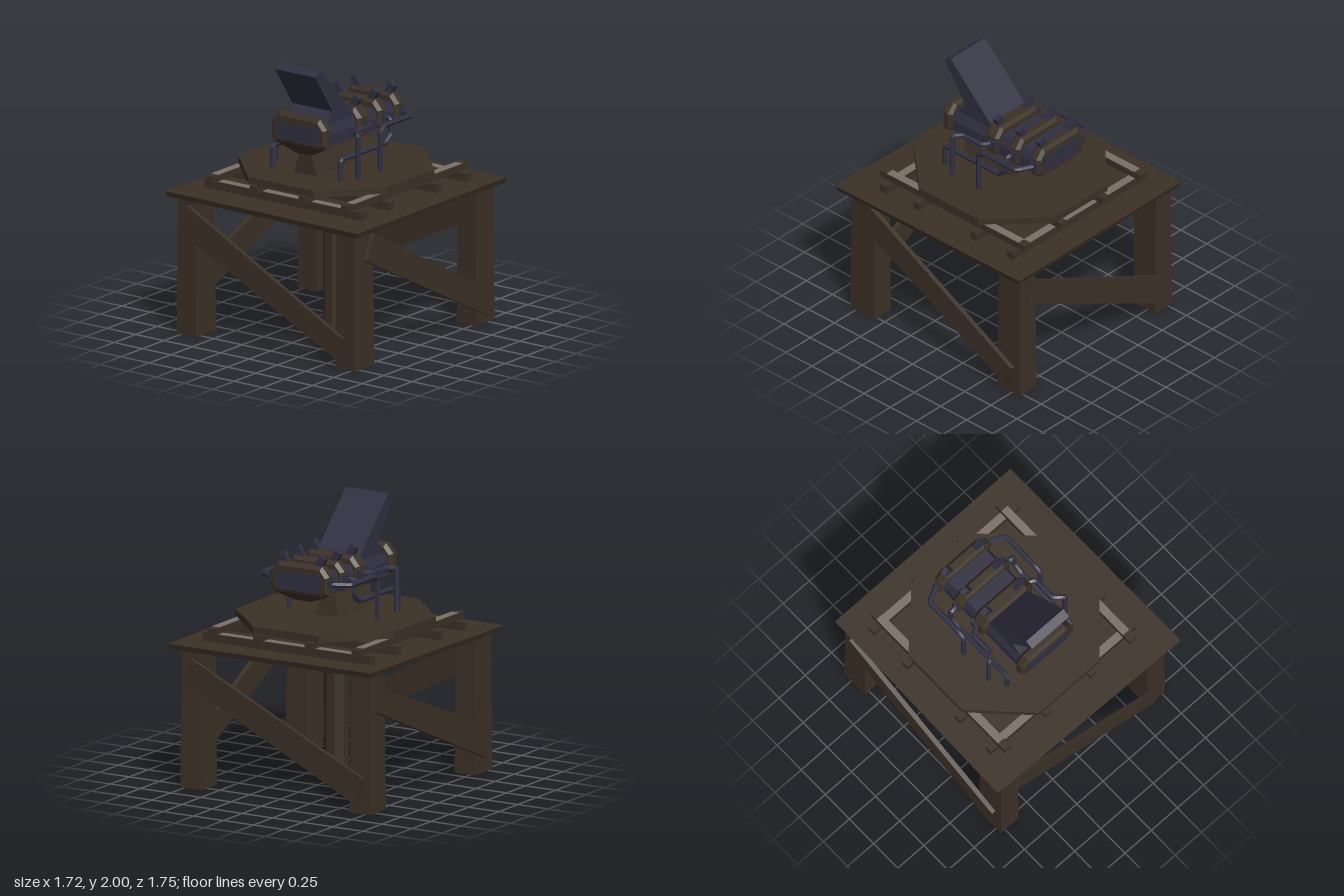
import * as THREE from 'three';

const mat = (name, color) => Object.assign(new THREE.MeshStandardMaterial({ color }), { name });

export function createModel() {
  const wood = mat('dark wood', 0x3b3025);
  const steel = mat('navy steel', 0x302f41);
  const pale = mat('pale beam top', 0x7a6f66);
  const model = new THREE.Group();

  const add = (name, geo, material, parent = model) => {
    const mesh = new THREE.Mesh(geo, material);
    mesh.name = name;
    parent.add(mesh);
    return mesh;
  };
  const group = (name) => {
    const g = new THREE.Group();
    g.name = name;
    model.add(g);
    return g;
  };
  const faceted = (geo) => {
    const g = geo.toNonIndexed();
    g.computeVertexNormals();
    return g;
  };
  const shape = (pts) => new THREE.Shape(pts.map(([x, y]) => new THREE.Vector2(x, y)));
  const box = (x0, x1, y0, y1, z0, z1) =>
    new THREE.BoxGeometry(x1 - x0, y1 - y0, z1 - z0)
      .translate((x0 + x1) / 2, (y0 + y1) / 2, (z0 + z1) / 2);
  // outline in x,y extruded from z0 to z1, with optional bevelled rims
  const extrude = (pts, z0, z1, bevel = 0, rim = 0) =>
    new THREE.ExtrudeGeometry(shape(pts), {
      depth: z1 - z0 - 2 * rim, bevelEnabled: bevel > 0, bevelSegments: 1,
      bevelSize: bevel, bevelThickness: rim, bevelOffset: -bevel,
    }).translate(0, 0, z0 + rim);
  // outline in x,z extruded from y0 to y1
  const slab = (pts, y0, y1) =>
    extrude(pts.map(([x, z]) => [x, -z]), 0, y1 - y0).rotateX(-Math.PI / 2).translate(0, y0, 0);
  // outline in z,y extruded from x0 to x1
  const sideExtrude = (pts, x0, x1) =>
    extrude(pts, 0, x1 - x0).rotateY(-Math.PI / 2).translate(x1, 0, 0);
  const mirrored = (half) => [...half, ...half.map(([x, y]) => [-x, y]).reverse()];
  // move vertices by a rule, then renew the flat normals
  const reshape = (geo, rule) => {
    const p = geo.attributes.position;
    const v = new THREE.Vector3();
    for (let i = 0; i < p.count; i++) {
      rule(v.fromBufferAttribute(p, i));
      p.setXYZ(i, v.x, v.y, v.z);
    }
    return faceted(geo.index ? geo : geo.clone());
  };

  // table: top, legs, centre post, diagonal braces
  const top = slab([[-0.83, -0.875], [0.85, -0.88], [0.86, 0.875], [-0.86, 0.845]], 1, 1.04);
  const topPos = top.attributes.position;
  for (let i = 0; i < topPos.count; i++) {
    if (topPos.getY(i) < 1.02) {
      topPos.setX(i, topPos.getX(i) * 0.985);
      topPos.setZ(i, topPos.getZ(i) * 0.985);
    }
  }
  top.computeVertexNormals();
  add('tableTop', top, wood);
  for (const [x0, x1] of [[-0.79, -0.62], [0.61, 0.78]]) {
    for (const [z0, z1] of [[0.57, 0.8], [-0.825, -0.61]]) {
      const cx = (x0 + x1) / 2, cz = (z0 + z1) / 2;
      add('leg', reshape(box(x0, x1, 0, 1, z0, z1), (v) => {
        if (v.y > 0.5) { v.x = cx + (v.x - cx) * 0.9; v.z = cz + (v.z - cz) * 0.95; }
      }), wood);
    }
  }
  add('centrePost', faceted(new THREE.CylinderGeometry(0.088, 0.088, 1.18, 8)
    .rotateY(Math.PI / 8).translate(-0.01, 0.59, -0.015)), wood);
  add('frontBrace', extrude([[-0.75, 0.77], [-0.68, 0.96], [0.69, 0.23], [0.655, 0.06]], 0.795, 0.83), wood);
  add('backBrace', extrude([[-0.7, 0.06], [-0.75, 0.26], [0.69, 0.95], [0.73, 0.77]], -0.85, -0.815), wood);
  add('leftBrace', sideExtrude([[0.7, 0.79], [0.6, 0.97], [-0.77, 0.22], [-0.71, 0.06]], 0.775, 0.81), wood);
  add('rightBrace', sideExtrude([[0.7, 0.1], [0.74, 0.33], [-0.74, 0.91], [-0.76, 0.73]], -0.82, -0.785), wood);

  // two crossed layers of beams, with pale tops on the outer ones
  const frame = group('beamFrame');
  for (const z of [-0.64, -0.295, 0.255, 0.57]) {
    add('crossBeam', box(-0.7, 0.69, 1.04, 1.1, z - 0.03, z + 0.03), wood, frame);
    if (Math.abs(z) > 0.5) {
      add('crossBeamTop', box(-0.62, 0.61, 1.1, 1.103, z - 0.03, z + 0.03), pale, frame);
    }
  }
  for (const x of [-0.605, -0.215, 0.215, 0.59]) {
    add('longBeam', box(x - 0.03, x + 0.03, 1.1, 1.15, -0.72, 0.67), wood, frame);
    if (Math.abs(x) > 0.5) {
      add('longBeamTop', box(x - 0.03, x + 0.03, 1.15, 1.153, -0.66, 0.6), pale, frame);
    }
  }
  add('turntable', slab([[-0.28, -0.68], [0.27, -0.68], [0.65, -0.3], [0.65, 0.26],
    [0.3, 0.64], [-0.28, 0.64], [-0.66, 0.26], [-0.66, -0.3]], 1.15, 1.2), wood);

  // pedestal
  add('pedestal', reshape(box(-0.1, 0.1, 1.2, 1.38, -0.135, 0.345), (v) => {
    if (v.y > 1.3) { v.x *= 0.45; if (v.z < 0) v.z = -0.11; }
  }), wood);

  // body: keel, steel core, bulkhead rings, end plates
  const body = group('body');
  const keel = extrude(mirrored([[0.065, 1.35], [0.235, 1.435]]), -0.5, 0.425);
  const kp = keel.attributes.position;
  for (let i = 0; i < kp.count; i++) {
    if (kp.getY(i) < 1.4) {
      if (kp.getZ(i) < 0) { kp.setZ(i, -0.44); kp.setY(i, 1.37); } else kp.setZ(i, 0.365);
    }
  }
  keel.computeVertexNormals();
  add('keel', keel, wood, body);
  add('core', extrude(mirrored([[0.21, 1.43], [0.21, 1.52], [0.18, 1.585]]), -0.45, 0.4), steel, body);
  const ring = mirrored([[0.2, 1.42], [0.24, 1.445], [0.24, 1.575], [0.18, 1.645]]);
  for (const [z0, z1] of [[0.345, 0.43], [-0.1, 0.025], [-0.3, -0.21], [-0.5, -0.41]]) {
    add('bulkhead', extrude(ring, z0, z1, 0.025, 0.022), wood, body);
  }
  add('frontPlate', box(-0.18, 0.18, 1.455, 1.585, 0.428, 0.434), steel, body);
  add('backPlate', box(-0.18, 0.18, 1.455, 1.585, -0.504, -0.498), steel, body);

  // raised slanted shield
  add('shield', sideExtrude([[0.46, 1.965], [0.4, 2], [0.01, 1.61], [0.01, 1.57],
    [0.345, 1.57], [0.26, 1.67]], -0.18, 0.175), steel);

  // tilted studs on the rear bulkheads
  for (const z of [-0.04, -0.25, -0.45]) {
    for (const s of [-1, 1]) {
      const stud = add('stud', new THREE.BoxGeometry(0.055, 0.12, 0.04), steel);
      stud.position.set(s * 0.145, 1.655, z);
      stud.rotation.z = -s * 0.5;
    }
  }

  // pipes: straight runs joined by short bends, mirrored left and right
  const pipe = (pts) => {
    const v = pts.map((p) => new THREE.Vector3(...p));
    const path = new THREE.CurvePath();
    let from = v[0];
    for (let i = 1; i < v.length - 1; i++) {
      const bend = (to) => v[i].clone().add(to.clone().sub(v[i]).setLength(0.022));
      const a = bend(v[i - 1]), b = bend(v[i + 1]);
      path.add(new THREE.LineCurve3(from, a));
      path.add(new THREE.QuadraticBezierCurve3(a, v[i], b));
      from = b;
    }
    path.add(new THREE.LineCurve3(from, v[v.length - 1]));
    return faceted(new THREE.TubeGeometry(path, 60, 0.02, 6));
  };
  const runs = [
    [[0.2, 1.52, -0.07], [0.3, 1.52, -0.02], [0.3, 1.52, 0.16], [0.365, 1.52, 0.21], [0.365, 1.2, 0.21]],
    [[0.2, 1.52, -0.26], [0.3, 1.52, -0.25], [0.3, 1.41, -0.25], [0.3, 1.355, -0.18],
      [0.3, 1.355, 0.335], [0.3, 1.2, 0.335]],
    [[0.2, 1.52, -0.46], [0.24, 1.52, -0.46], [0.365, 1.52, -0.4], [0.365, 1.52, -0.09],
      [0.365, 1.49, -0.045], [0.365, 1.2, -0.045]],
  ];
  for (const s of [1, -1]) {
    for (const run of runs) {
      add(s > 0 ? 'leftPipe' : 'rightPipe', pipe(run.map(([x, y, z]) => [s * x, y, z])), steel);
      const [, y, z] = run[0];
      add('pipeSocket', box(s * 0.24 - 0.015, s * 0.24 + 0.015, y - 0.03, y + 0.03, z - 0.03, z + 0.03), steel);
    }
  }
  return model;
}
